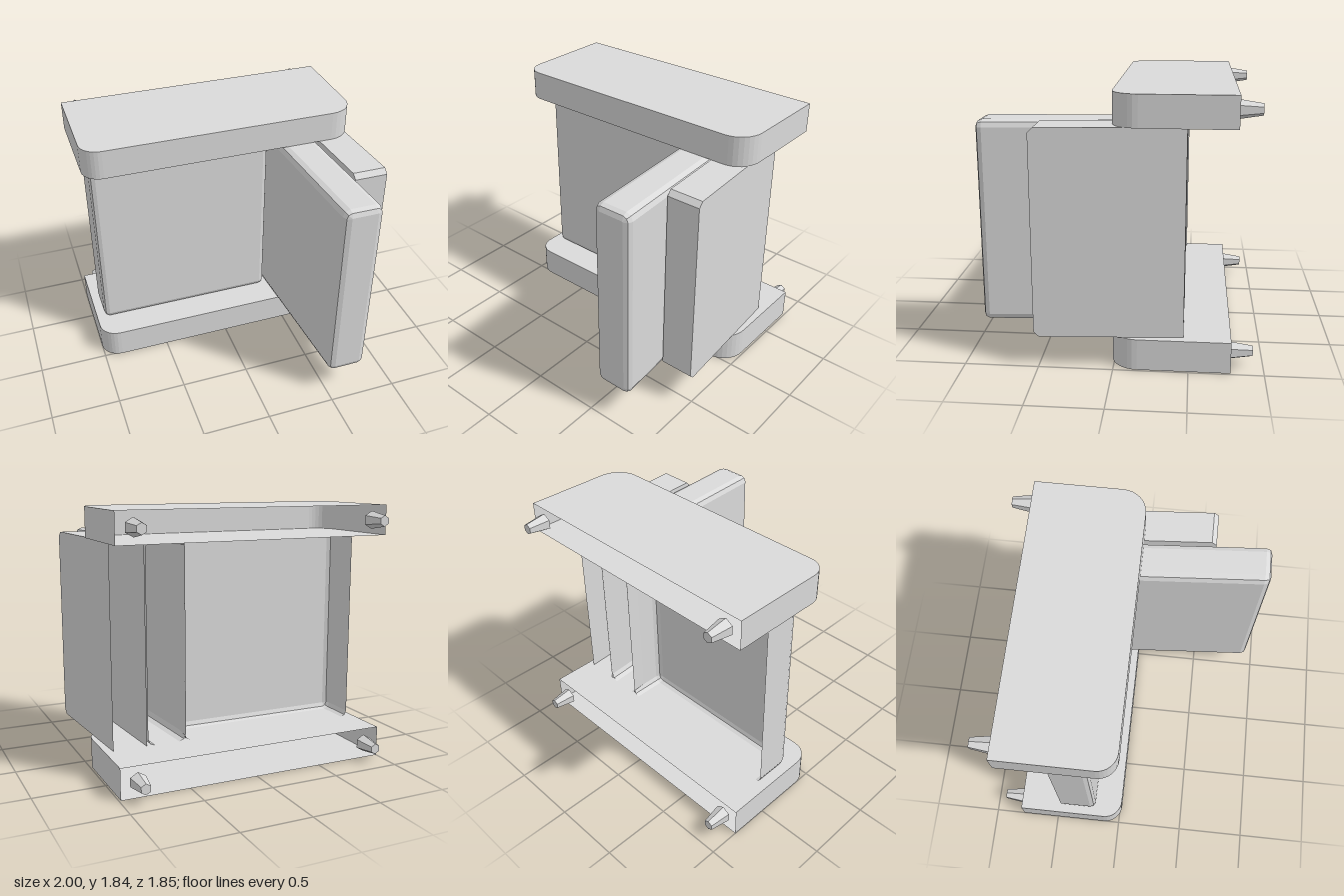
import * as THREE from 'three';

// Separate the faces so every facet is flat
function faceted(geometry) {
  const g = geometry.index ? geometry.toNonIndexed() : geometry;
  g.computeVertexNormals();
  return g;
}

// Remove the faces lying on the rear plane, leaving a hollow part
function openBack(geometry) {
  geometry.computeBoundingBox();
  const back = geometry.boundingBox.min.z + 1e-4;
  const p = geometry.getAttribute('position').array;
  const kept = [];
  for (let i = 0; i < p.length; i += 9) {
    if (Math.max(p[i + 2], p[i + 5], p[i + 8]) > back) kept.push(...p.slice(i, i + 9));
  }
  const g = new THREE.BufferGeometry();
  g.setAttribute('position', new THREE.Float32BufferAttribute(kept, 3));
  return faceted(g);
}

// Slant a part sideways along its depth, keeping its front face square
function slant(geometry) {
  const shear = new THREE.Matrix4().set(1, 0, 0.07, 0, 0, 1, 0, 0, 0, 0, 1, 0, 0, 0, 0, 1);
  return faceted(geometry.applyMatrix4(shear));
}

// Counter-clockwise rounded rectangle at depth z
function loop(w, h, r, z) {
  const pts = [];
  for (let c = 0; c < 4; c++) {
    const sx = c === 0 || c === 3 ? 1 : -1;
    const sy = c < 2 ? 1 : -1;
    for (let k = 0; k <= 2; k++) {
      const a = (c + k / 2) * Math.PI / 2;
      pts.push([sx * (w / 2 - r) + r * Math.cos(a), sy * (h / 2 - r) + r * Math.sin(a), z]);
    }
  }
  return pts;
}

// Hollow cover, open at the back, with a softened front edge
function openCover(w, h, zBack, zFront, r) {
  const loops = [loop(w, h, r * 1.1, zBack)];
  for (let k = 0; k <= 2; k++) {
    const a = k * Math.PI / 4;
    const inset = r * (1 - Math.cos(a));
    loops.push(loop(w - 2 * inset, h - 2 * inset, r * 1.1 - inset, zFront - r * (1 - Math.sin(a))));
  }
  const n = loops[0].length;
  const index = [];
  for (let j = 0; j < loops.length - 1; j++) {
    for (let i = 0; i < n; i++) {
      const a = j * n + i, b = j * n + (i + 1) % n;
      index.push(a, b, b + n, a, b + n, a + n);
    }
  }
  const last = (loops.length - 1) * n;
  for (let i = 1; i < n - 1; i++) index.push(last, last + i, last + i + 1);
  const g = new THREE.BufferGeometry();
  g.setAttribute('position', new THREE.Float32BufferAttribute(loops.flat(2), 3));
  g.setIndex(index);
  return faceted(g);
}

export function createModel() {
  const model = new THREE.Group();
  const grey = new THREE.MeshStandardMaterial({ color: 0xdadada, side: THREE.DoubleSide });
  grey.name = 'light grey';

  const add = (name, geometry, x = 0, y = 0, z = 0) => {
    const mesh = new THREE.Mesh(geometry, grey);
    mesh.name = name;
    mesh.position.set(x, y, z);
    model.add(mesh);
  };

  // Hollow horizontal plates with rounded front corners (shape y becomes -z)
  const plate = new THREE.Shape();
  plate.moveTo(-1, 0.78);
  plate.lineTo(-1, 0.12);
  plate.absarc(-0.865, 0.12, 0.135, Math.PI, Math.PI * 1.5, false);
  plate.lineTo(0.812, -0.015);
  plate.absarc(0.812, 0.16, 0.175, Math.PI * 1.5, Math.PI * 2, false);
  plate.lineTo(0.987, 0.78);
  const plateGeometry = (depth) => openBack(
    new THREE.ExtrudeGeometry(plate, { depth, bevelEnabled: false, curveSegments: 4 }).rotateX(-Math.PI / 2));
  add('bottomPlate', plateGeometry(0.217));
  add('topPlate', plateGeometry(0.211), 0, 1.628, 0);

  // Tapered mounting pegs at the back of each plate
  const peg = faceted(new THREE.CylinderGeometry(0.038, 0.062, 0.15, 6).rotateX(-Math.PI / 2));
  for (const y of [0.112, 1.737]) {
    for (const x of [-0.88, 0.868]) add('mountingPeg', peg, x, y, -0.852);
  }

  // Wide cover between the plates
  const midY = 0.922, height = 1.409, back = -0.465;
  add('wideCover', openCover(1.345, height, back, -0.19, 0.04), -0.267, midY, 0);

  // Long narrow cover, slanting outward
  add('longCover', slant(openCover(0.28, height, back, 0.923, 0.045)), 0.571, midY, 0);

  // Hollow side slab with chamfered front edges
  const w = 0.241, h = height / 2, front = 0.527, c = 0.035;
  const slab = new THREE.Shape([
    [back, -h], [front - c, -h], [front, -h + c], [front, h - c], [front - c, h], [back, h],
  ].map(([z, y]) => new THREE.Vector2(z, y)));
  const slabGeometry = new THREE.ExtrudeGeometry(slab, { depth: w, bevelEnabled: false });
  slabGeometry.rotateY(-Math.PI / 2).translate(w / 2, 0, 0);
  add('sideSlab', slant(openBack(slabGeometry)), 0.841, midY, 0);

  return model;
}
